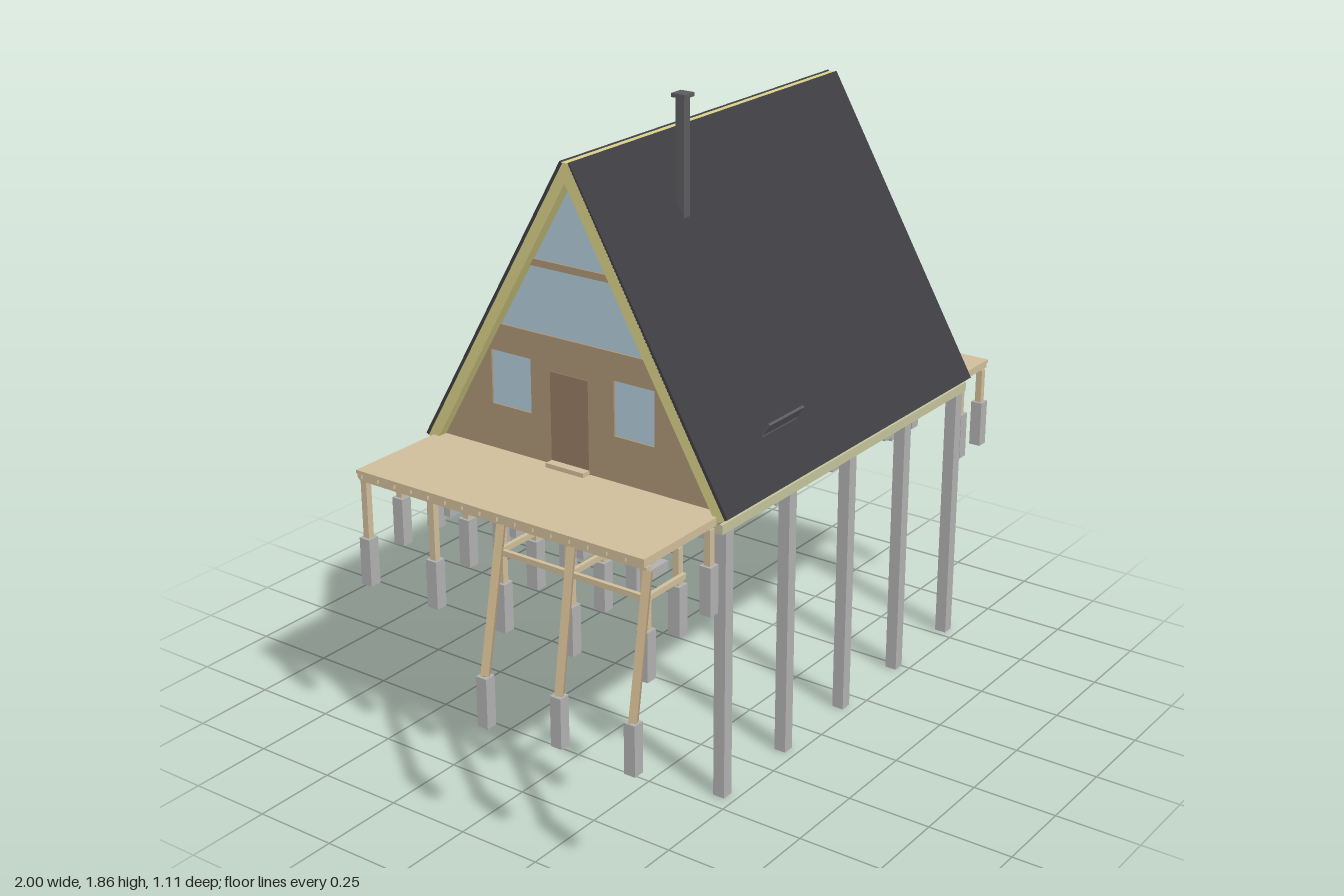
import * as THREE from 'three';

const mat = (color) => new THREE.MeshStandardMaterial({ color, side: THREE.DoubleSide });

export function createModel() {
  const model = new THREE.Group();
  const M = {
    roof: mat(0x3e3d43), timber: mat(0xd8cf88), wall: mat(0xab9574), door: mat(0x957a63),
    glass: mat(0xb0cad8), deck: mat(0xcfbd9a), sill: mat(0xc3c39c), concrete: mat(0xb0b0b0),
    floor: mat(0x66676a), metal: mat(0x5c5c60), brace: mat(0xb49f7c),
  };
  const part = (name) => {
    const g = new THREE.Group();
    g.name = name;
    model.add(g);
    return g;
  };
  const add = (parent, name, geo, m) => {
    const mesh = new THREE.Mesh(geo, m);
    mesh.name = name;
    parent.add(mesh);
    return mesh;
  };
  // Box given by its limits on each axis
  const box = (parent, name, m, [x0, x1], [y0, y1], [z0, z1]) => {
    const mesh = add(parent, name, new THREE.BoxGeometry(x1 - x0, y1 - y0, z1 - z0), m);
    mesh.position.set((x0 + x1) / 2, (y0 + y1) / 2, (z0 + z1) / 2);
    return mesh;
  };
  // Upright square post centred on x, z
  const post = (parent, name, m, x, z, y0, y1, w) =>
    box(parent, name, m, [x - w / 2, x + w / 2], [y0, y1], [z - w / 2, z + w / 2]);
  // Square bar between two points
  const bar = (parent, name, m, a, b, w) => {
    const p = new THREE.Vector3(...a), q = new THREE.Vector3(...b);
    const mesh = add(parent, name, new THREE.BoxGeometry(w, w, p.distanceTo(q)), m);
    mesh.position.copy(p).add(q).multiplyScalar(0.5);
    mesh.lookAt(q);
  };
  // Outline of [z, y] points extruded along x, with optional holes
  const prism = (parent, name, m, pts, x0, x1, holes = []) => {
    const v = (list) => list.map(([z, y]) => new THREE.Vector2(-z, y));
    const shape = new THREE.Shape(v(pts));
    shape.holes = holes.map((h) => new THREE.Path(v(h)));
    const geo = new THREE.ExtrudeGeometry(shape, { depth: x1 - x0, bevelEnabled: false });
    geo.rotateY(Math.PI / 2).translate(x0, 0, 0);
    return add(parent, name, geo, m);
  };
  const rect = (z0, z1, y0, y1) => [[z0, y0], [z1, y0], [z1, y1], [z0, y1]];

  const ZC = -0.035, SLOPE = Math.sqrt(3), X0 = -0.47, X1 = 0.83;
  const DECK = 0.847, INNER = 1.667;
  const half = (y) => (INNER - y) / SLOPE; // half width inside the rafters

  // Roof: yellow rafters with dark skins that stop short of the ridge
  const roof = part('roof');
  for (const s of [1, -1]) {
    const top = [0.015, 1.725], eave = [0.522, 0.847];
    const off = ([z, y], d) => [ZC + s * (z - d * 0.866), y - d * 0.5];
    prism(roof, 'roofSkin', M.roof, [off(top, 0), off(eave, 0), off(eave, 0.01), off(top, 0.01)], X0, X1);
    prism(roof, 'rafterSlab', M.timber,
      [[ZC, 1.722], [ZC + s * 0.012, 1.722], off(eave, 0.01), off(eave, 0.042), [ZC, INNER]], X0, X1);
  }

  // Chimney
  const chimney = part('chimney');
  post(chimney, 'chimneyPipe', M.metal, -0.115, 0.088, 1.46, 1.845, 0.028);
  post(chimney, 'chimneyCap', M.metal, -0.115, 0.088, 1.845, 1.856, 0.045);

  // Raised strip on the front slope
  bar(part('roofFlap'), 'flapHinge', M.metal, [-0.2, 0.975, 0.41], [-0.03, 0.975, 0.41], 0.008);
  prism(model, 'roofFlapPlate', M.metal,
    [[0.400, 0.970], [0.405, 0.965], [0.437, 1.012], [0.432, 1.017]], -0.2, -0.03);

  // Gable walls with openings, glass and doors
  const gable = (name, sign, topY, windows, door) => {
    const g = part(name);
    const xs = (a, b) => (sign > 0 ? [X1 - b, X1 - a] : [X0 + a, X0 + b]);
    const span = (y0, y1) => [[ZC - half(y0), y0], [ZC + half(y0), y0], [ZC + half(y1), y1], [ZC - half(y1), y1]];
    prism(g, 'gableWall', M.wall, span(0.83, topY), ...xs(0.03, 0.05), windows);
    windows.forEach((w) => prism(g, 'windowGlass', M.glass, w, ...xs(0.036, 0.044)));
    if (topY < 1.4) {
      prism(g, 'lowerGableGlass', M.glass, span(topY, 1.41), ...xs(0.036, 0.044));
      prism(g, 'windowRail', M.wall, span(1.41, 1.43), ...xs(0.03, 0.05));
    }
    prism(g, 'topGableGlass', M.glass, span(1.43, INNER - 0.002).slice(0, 2).concat([[ZC, INNER]]), ...xs(0.036, 0.044));
    prism(g, 'door', M.door, rect(...door), ...xs(0.027, 0.045));
    prism(g, 'doorStep', M.deck, rect(door[0], door[1], DECK, 0.86), ...xs(0, 0.03));
  };
  gable('leftGable', 1, 1.43, [
    rect(0.025, 0.1, 0.945, 1.075),
    [[-0.325, 0.985], [-0.385, 0.98], [-0.385, 1.02], [-0.325, 1.11]],
  ], [-0.305, -0.197, DECK, 1.115]);
  gable('rightGable', -1, 1.22, [
    rect(-0.33, -0.19, 0.98, 1.14), rect(0.095, 0.23, 0.98, 1.14),
  ], [-0.12, 0.01, DECK, 1.12]);

  // Floor with sills along the rows of columns
  const rows = [0.2, -0.03, -0.27, -0.515];
  const columnXs = [-0.435, -0.13, 0.18, 0.485, 0.79];
  const floor = part('floor');
  box(floor, 'floorSlab', M.floor, [X0, X1], [0.822, 0.84], [-0.53, 0.46]);
  for (const z of [0.453, ...rows])
    box(floor, 'floorSill', z > 0.4 || z < -0.5 ? M.sill : M.floor, [X0, X1], [0.8, 0.828], [z - 0.018, z + 0.018]);

  // Concrete columns: tall at the front, short on footings behind
  const columns = part('columns');
  const footed = (x, z) => {
    post(columns, 'column', M.concrete, x, z, 0.62, 0.8, 0.036);
    post(columns, 'footing', M.concrete, x, z, 0.605, 0.635, 0.082);
  };
  for (const x of columnXs) {
    post(columns, 'tallColumn', M.concrete, x, 0.453, 0, 0.8, 0.036);
    rows.forEach((z) => footed(x, z));
  }
  footed(0.18, -0.175);

  // Decks: boards, beams, joists, posts and pads
  const deck = (name, x0, x1, beams) => {
    const g = part(name);
    box(g, 'deckBoards', M.deck, [x0, x1], [0.837, DECK], [-0.53, 0.453]);
    for (let i = 0; i <= 16; i++) {
      const z = -0.522 + (i * 0.967) / 16;
      box(g, 'deckJoist', M.deck, [x0 + 0.003, x1 - 0.003], [0.822, 0.837], [z - 0.006, z + 0.006]);
    }
    for (const [x, padY] of beams) {
      box(g, 'deckBeam', M.deck, [x - 0.01, x + 0.01], [0.812, 0.836], [-0.528, 0.45]);
      for (const z of [0.443, ...rows]) {
        post(g, 'deckPost', M.deck, x, z, padY + 0.1, 0.82, 0.02);
        post(g, 'deckPad', M.concrete, x, z, padY, padY + 0.142, 0.036);
      }
    }
  };
  deck('leftDeck', 0.8, 1.0, [[0.847, 0.573], [0.975, 0.573]]);
  deck('rightDeck', -0.788, -0.44, [[-0.768, 0.5], [-0.63, 0.573], [-0.49, 0.573]]);

  // Slanted braces beside the right deck, with ties and pads
  const braces = part('braces');
  for (const [z0, x1, z1] of [[-0.025, -0.983, 0.085], [0.21, -0.953, 0.305], [0.455, -0.953, 0.54]]) {
    bar(braces, 'brace', M.brace, [-0.775, 0.81, z0], [x1, 0.485, z1], 0.022);
    post(braces, 'bracePad', M.concrete, x1, z1, 0.345, 0.49, 0.034);
    box(braces, 'braceTie', M.deck, [-0.79, -0.63], [0.737, 0.753], [z0 + 0.003, z0 + 0.015]);
  }
  box(braces, 'longTie', M.deck, [-0.8, -0.788], [0.737, 0.753], [-0.03, 0.47]);

  return model;
}
